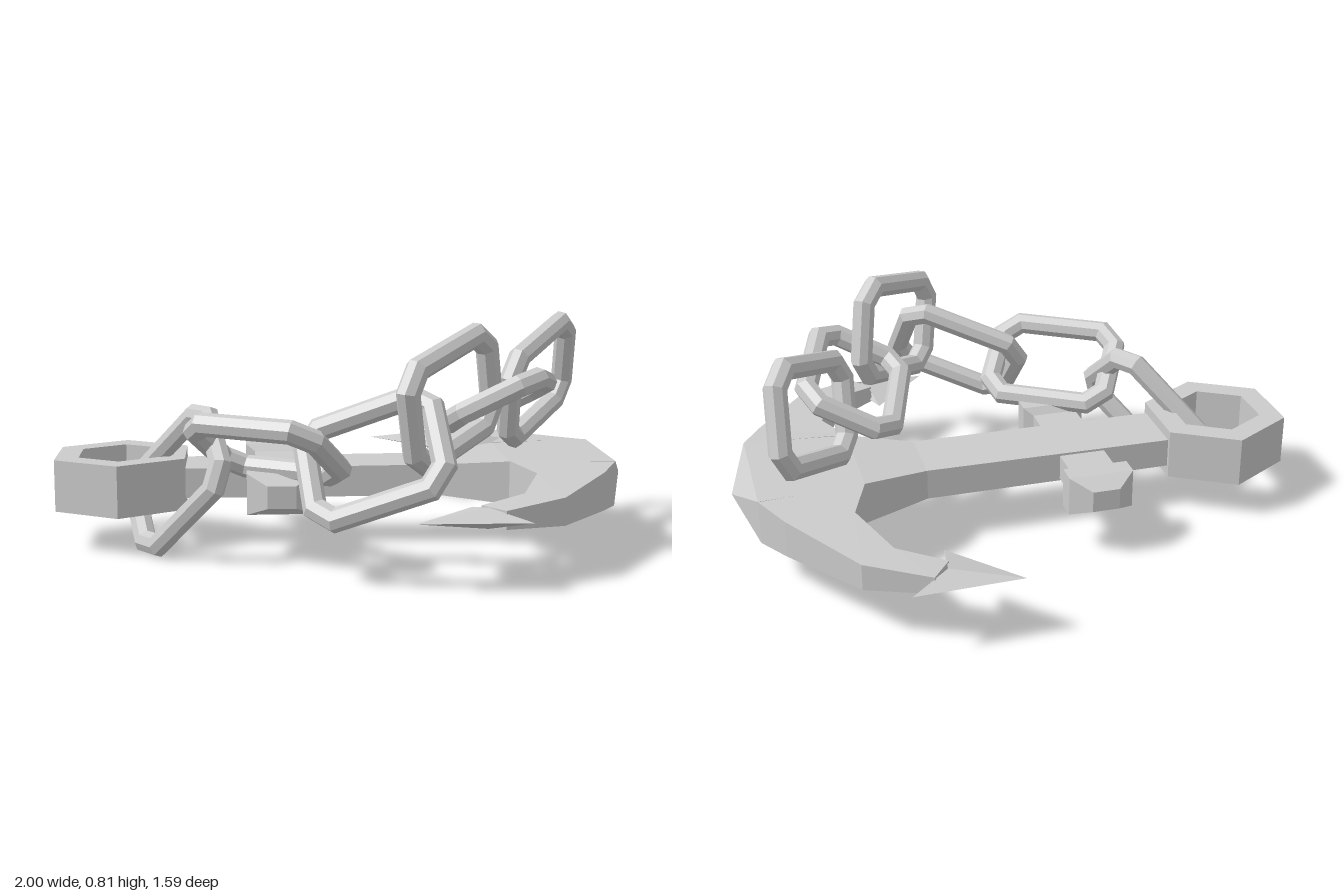
import * as THREE from 'three';

const V = (x, y, z) => new THREE.Vector3(x, y, z);
const MID = 0.247; // height of the anchor's middle plane

const material = new THREE.MeshStandardMaterial({ color: 0xcccccc, flatShading: true });

// Makes a flat-shaded mesh from triangles, turned outward by signed volume
function solid(name, tris) {
  let volume = 0;
  for (const [a, b, c] of tris) volume += a.dot(b.clone().cross(c));
  const pts = tris.flatMap(([a, b, c]) => (volume < 0 ? [a, c, b] : [a, b, c]));
  const geometry = new THREE.BufferGeometry().setFromPoints(pts);
  geometry.computeVertexNormals();
  const mesh = new THREE.Mesh(geometry, material);
  mesh.name = name;
  return mesh;
}

// Skins a row of cross-sections; closed joins last to first, otherwise ends are capped
function loft(name, rings, closed = false) {
  const tris = [];
  const n = rings[0].length;
  const spans = closed ? rings.length : rings.length - 1;
  for (let i = 0; i < spans; i++) {
    const p = rings[i], q = rings[(i + 1) % rings.length];
    for (let j = 0; j < n; j++) {
      const k = (j + 1) % n;
      tris.push([p[j], q[j], q[k]], [p[j], q[k], p[k]]);
    }
  }
  if (!closed) {
    const last = rings[rings.length - 1];
    for (let j = 1; j < n - 1; j++) {
      tris.push([rings[0][0], rings[0][j], rings[0][j + 1]]);
      tris.push([last[0], last[j + 1], last[j]]);
    }
  }
  return solid(name, tris);
}

// Upright rectangular section between two plan points, half height h
const section = ([x1, z1], [x2, z2], h) => [
  V(x1, MID + h, z1), V(x2, MID + h, z2), V(x2, MID - h, z2), V(x1, MID - h, z1),
];

// Hexagonal eye at the end of the shank
function makeEye() {
  const rings = [];
  for (let i = 0; i < 6; i++) {
    const a = Math.PI / 2 + (i * Math.PI) / 3;
    const at = r => [-0.777 + r * Math.cos(a), r * Math.sin(a)];
    rings.push(section(at(0.167), at(0.258), 0.09));
  }
  return loft('eye', rings, true);
}

// Shank widening into the crown and its pointed nose: x, half width, half height
function makeShank() {
  const rows = [[-0.6, 0.115, 0.052], [0.337, 0.115, 0.055], [0.567, 0.187, 0.076],
    [0.93, 0.22, 0.079], [1, 0, 0]];
  return loft('shankAndCrown', rows.map(([x, w, h]) => section([x, -w], [x, w], h)));
}

// Crossbar with flared, tapered ends: z, half width, half height
function makeStock() {
  const end = [[0.38, 0.048, 0.038], [0.32, 0.115, 0.07], [0.25, 0.115, 0.07], [0.228, 0.082, 0.045]];
  const rows = [...end.map(([z, w, h]) => [-z, w, h]), ...end.slice().reverse()];
  return loft('stock', rows.map(([z, w, h]) => [
    V(-0.227 - w, MID + h, z - 0.008), V(-0.227 + w, MID + h, z - 0.008),
    V(-0.227 + w, MID - h, z - 0.008), V(-0.227 - w, MID - h, z - 0.008),
  ]));
}

// Curved arm: inner plan point, outer plan point, half height
function makeArm(side) {
  const rows = [
    [[0.567, 0.187], [0.93, 0.22], 0.078],
    [[0.63, 0.35], [0.86, 0.35], 0.066],
    [[0.545, 0.572], [0.663, 0.642], 0.046],
    [[0.39, 0.665], [0.455, 0.75], 0.03],
  ];
  return loft('arm', rows.map(([a, b, h]) => section([a[0], a[1] * side], [b[0], b[1] * side], h)));
}

// Arrow-shaped barb with a raised middle and sharp rim
function makeBarb(side) {
  const rim = [[0.17, 0.783], [0.535, 0.793], [0.455, 0.75], [0.38, 0.675], [0.38, 0.55]]
    .map(([x, z]) => V(x, MID, z * side));
  const tris = [];
  const top = V(0.405, MID + 0.034, 0.715 * side), bottom = V(0.405, MID - 0.034, 0.715 * side);
  rim.forEach((p, i) => {
    const q = rim[(i + 1) % rim.length];
    tris.push([top, p, q], [bottom, q, p]);
  });
  return solid('barb', tris);
}

// Chain link: chamfered rectangle path with an octagonal bar
function makeLink(center, along, across) {
  const a = 0.222, b = 0.162, c = 0.06, r = 0.039, sides = 8;
  const corner = [[a, b - c], [a - c, b]];
  const path = [];
  for (const [sx, sy] of [[1, 1], [-1, 1], [-1, -1], [1, -1]]) {
    const pair = corner.map(([x, y], i) => {
      const t = Math.PI / 8 + (i * Math.PI) / 4; // mitre direction
      return { x: x * sx, y: y * sy, nx: Math.cos(t) * sx, ny: Math.sin(t) * sy };
    });
    path.push(...(sx * sy > 0 ? pair : pair.reverse()));
  }
  const mitre = 1 / Math.cos(Math.PI / 8);
  const rings = path.map(p => Array.from({ length: sides }, (_, j) => {
    const t = ((j + 0.5) / sides) * Math.PI * 2;
    const out = r * Math.cos(t) * mitre;
    return V(p.x + p.nx * out, p.y + p.ny * out, r * Math.sin(t));
  }));
  const mesh = loft('chainLink', rings, true);
  const u = V(...along).normalize();
  const w = u.clone().cross(V(...across)).normalize();
  const v = w.clone().cross(u);
  mesh.quaternion.setFromRotationMatrix(new THREE.Matrix4().makeBasis(u, v, w));
  mesh.position.set(...center);
  return mesh;
}

export function createModel() {
  const model = new THREE.Group();
  model.name = 'anchorWithChain';

  const anchor = new THREE.Group();
  anchor.name = 'anchor';
  anchor.add(makeEye(), makeShank(), makeStock());
  for (const side of [1, -1]) anchor.add(makeArm(side), makeBarb(side));

  // Each link: centre, long direction, short direction
  const chain = new THREE.Group();
  chain.name = 'chain';
  const links = [
    [[-0.58, 0.275, 0.19], [0.295, 0.34, 0.215], [-0.06, 0.21, -0.235]],
    [[-0.275, 0.415, 0.408], [0.385, 0, 0.235], [-0.155, 0.2, 0.25]],
    [[0.055, 0.42, 0.605], [0.43, 0.175, 0.15], [-0.06, 0.265, -0.215]],
    [[0.315, 0.59, 0.505], [0.34, 0.13, -0.36], [0.03, -0.33, -0.06]],
    [[0.525, 0.535, 0.19], [0.14, -0.08, -0.46], [0.34, 0.17, 0.045]],
    [[0.718, 0.57, -0.108], [0.275, 0.14, -0.345], [0.015, -0.335, -0.135]],
  ];
  for (const link of links) chain.add(makeLink(...link));

  model.add(anchor, chain);
  return model;
}
